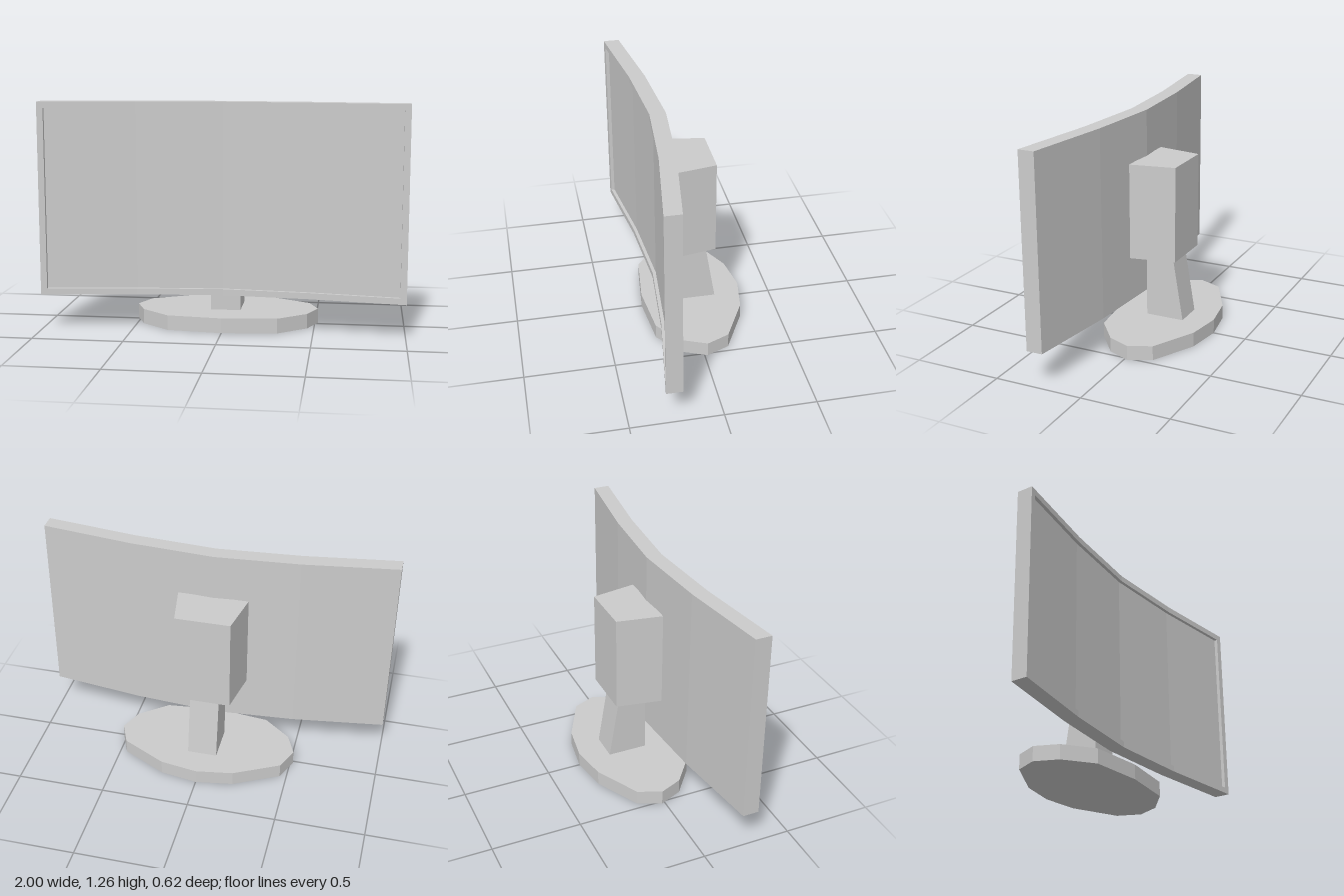
import * as THREE from 'three';

const material = new THREE.MeshStandardMaterial({ color: 0xcccccc, flatShading: true });

// Curve of the display: how far it comes forward at each x
const KNOTS = [[0, 0], [0.475, 0.035], [1, 0.107]];
function bend(x) {
  const a = Math.abs(x);
  const i = a <= KNOTS[1][0] ? 0 : 1;
  const [x0, z0] = KNOTS[i], [x1, z1] = KNOTS[i + 1];
  return z0 + (z1 - z0) * (a - x0) / (x1 - x0);
}

// Vertical prism from a plan outline of [x, z] points
function prism(name, plan, y0, y1) {
  const shape = new THREE.Shape(plan.map(([x, z]) => new THREE.Vector2(x, -z)));
  const geometry = new THREE.ExtrudeGeometry(shape, { depth: y1 - y0, bevelEnabled: false });
  geometry.rotateX(-Math.PI / 2).translate(0, y0, 0);
  const mesh = new THREE.Mesh(geometry, material);
  mesh.name = name;
  return mesh;
}

// Slab that follows the display curve
function curvedSlab(name, x0, x1, y0, y1, back, front) {
  const xs = [x0, ...[-0.475, 0, 0.475].filter(x => x > x0 && x < x1), x1];
  const plan = [
    ...xs.map(x => [x, front + bend(x)]),
    ...xs.reverse().map(x => [x, back + bend(x)]),
  ];
  return prism(name, plan, y0, y1);
}

export function createModel() {
  const model = new THREE.Group();
  model.name = 'monitor';

  // Display: curved panel with a raised bezel
  const display = new THREE.Group();
  display.name = 'display';
  const bottom = 0.197, top = 1.262, rim = 0.034;
  const back = 0.111, screen = 0.182, front = 0.201;
  display.add(
    curvedSlab('panel', -1, 1, bottom, top, back, screen),
    curvedSlab('bezelTop', -1, 1, top - rim, top, screen, front),
    curvedSlab('bezelBottom', -1, 1, bottom, bottom + rim, screen, front),
    curvedSlab('bezelRight', -1, -1 + rim, bottom + rim, top - rim, screen, front),
    curvedSlab('bezelLeft', 1 - rim, 1, bottom + rim, top - rim, screen, front),
  );
  model.add(display);

  // Tapered housing behind the display
  model.add(prism('housing',
    [[-0.2, 0.12], [0.2, 0.12], [0.155, -0.135], [-0.155, -0.135]], 0.457, 1.0));

  // Neck with a sloping rear face, running up into the housing
  const profile = new THREE.Shape([[0.073, 0.07], [0.073, 0.5], [-0.081, 0.5], [-0.152, 0.07]]
    .map(([z, y]) => new THREE.Vector2(z, y)));
  const neckGeometry = new THREE.ExtrudeGeometry(profile, { depth: 0.168, bevelEnabled: false });
  neckGeometry.translate(0, 0, -0.084).rotateY(-Math.PI / 2);
  const neck = new THREE.Mesh(neckGeometry, material);
  neck.name = 'neck';
  model.add(neck);

  // Faceted oval base, mirrored about x = 0
  const side = [[0.21, -0.275], [0.462, -0.145], [0.517, -0.017], [0.462, 0.113], [0.305, 0.238]];
  const mirrored = side.map(([x, z]) => [-x, z]).reverse();
  model.add(prism('base', [[0, -0.308], ...side, [0, 0.27], ...mirrored], 0, 0.083));

  return model;
}
